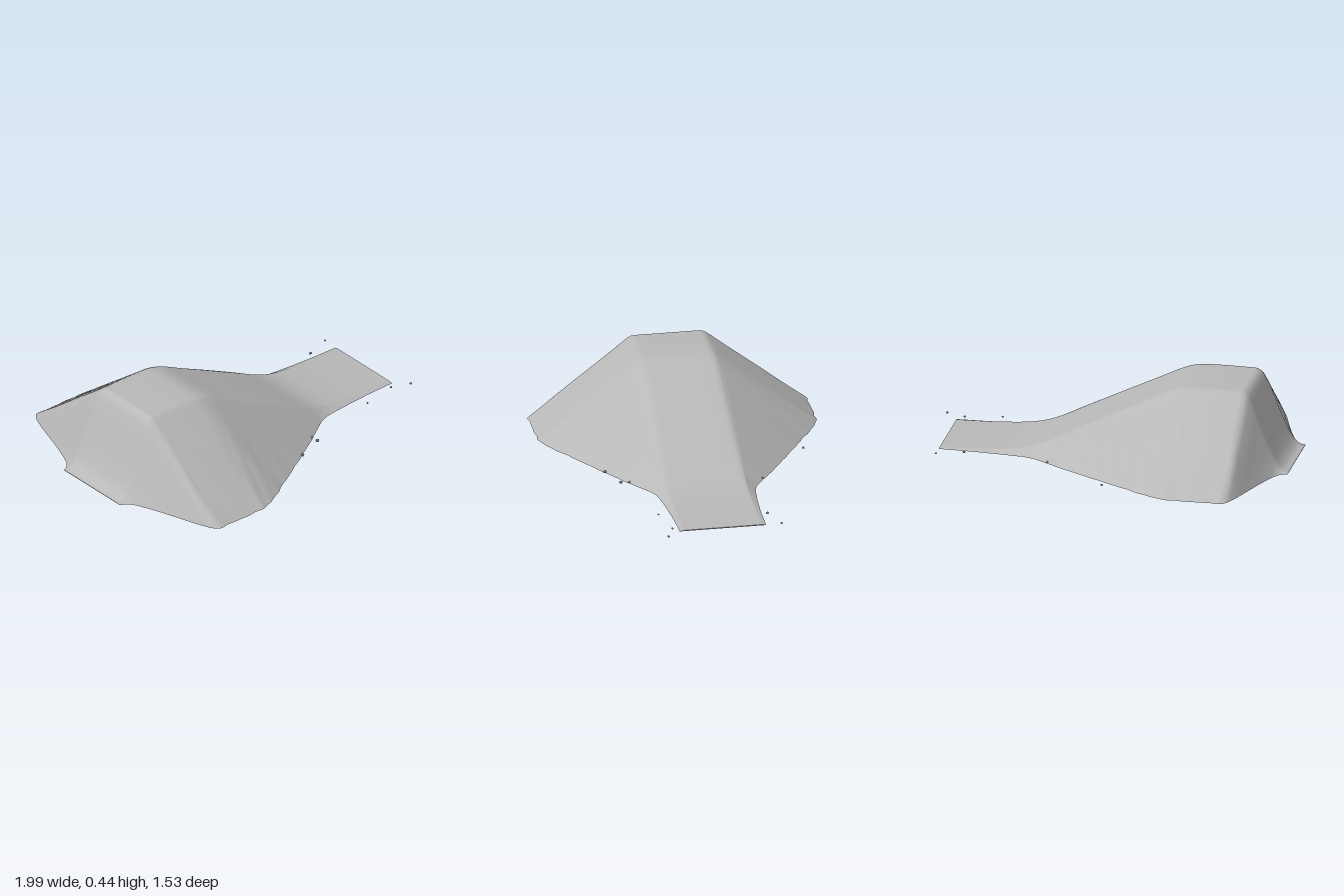
import * as THREE from 'three';

// Ridge profile: distance along x, height
const PROFILE = [
  [-1, 0.003], [-0.97, 0.015], [-0.94, 0.045], [-0.9, 0.12], [-0.85, 0.24], [-0.8, 0.365],
  [-0.77, 0.42], [-0.745, 0.436], [-0.72, 0.438], [-0.45, 0.438], [-0.4, 0.43], [-0.34, 0.41],
  [-0.2, 0.342], [0, 0.245], [0.2, 0.145], [0.32, 0.083], [0.4, 0.05], [0.5, 0.027],
  [0.7, 0.011], [0.915, 0.005],
];

// Section across the ridge at one x: points from +z to -z
function section(x, h) {
  const base = 0.23 + 1.21 * h - 0.012 * Math.exp(-(((x - 0.4) / 0.09) ** 2));
  const half = [];
  const flank = 14;
  for (let i = 0; i <= flank; i++) {
    const t = i / flank;
    // faint earth ripples, fading out at the shoulder
    const ripple = 0.006 * h * (1 - t) * (Math.sin(41 * x + 5 * t) + Math.sin(67 * x - 9 * t));
    half.push([base + (0.215 - base) * t + ripple, Math.max(0, h * t * 0.97)]);
  }
  half.push([0.195, h * 0.995], [0.17, h], [0.08, h]);
  const mirrored = half.map(([z, y]) => [-z, y]).reverse();
  return [...half, [0, h], ...mirrored];
}

// Surface through equal-length rows of points
function loft(rows) {
  const n = rows[0].length;
  const index = [];
  for (let r = 0; r < rows.length - 1; r++) {
    for (let c = 0; c < n - 1; c++) {
      const a = r * n + c, b = a + n;
      index.push(a, b, a + 1, b, b + 1, a + 1);
    }
  }
  const geo = new THREE.BufferGeometry();
  geo.setAttribute('position', new THREE.Float32BufferAttribute(rows.flat(2), 3));
  geo.setIndex(index);
  geo.computeVertexNormals();
  return geo;
}

export function createModel() {
  const group = new THREE.Group();
  group.name = 'dirtRamp';
  const earth = new THREE.MeshStandardMaterial({ color: 0xb8b8b8 });
  earth.name = 'grey earth';
  const add = (geo, name) => {
    const mesh = new THREE.Mesh(geo, earth);
    mesh.name = name;
    group.add(mesh);
    return mesh;
  };

  // Smooth rows along the ridge, three steps per profile span
  const curve = new THREE.CatmullRomCurve3(
    PROFILE.map(([x, y]) => new THREE.Vector3(x, y, 0)), false, 'centripetal');
  const rows = [];
  const steps = (PROFILE.length - 1) * 6;
  for (let i = 0; i <= steps; i++) {
    const p = curve.getPoint(i / steps);
    rows.push(section(p.x, p.y).map(([z, y]) => [p.x, y, z]));
  }
  add(loft(rows), 'moundSurface');

  // Flat underside
  add(loft(rows.map((r) => {
    const a = r[0], b = r[r.length - 1];
    return [[b[0], 0, b[2]], [a[0], 0, a[2]]];
  })), 'underside');

  // Thin closing faces at both ends
  const first = rows[0], last = rows[rows.length - 1];
  const floor = (row) => row.map(([x, , z]) => [x, 0, z]);
  add(loft([floor(first), first]), 'entryEdge');
  add(loft([last, floor(last)]), 'landingEdge');

  // Loose pebbles beside the mound: x, z, radius
  const pebble = new THREE.IcosahedronGeometry(1, 0);
  [
    [-0.06, -0.62, 0.008], [0.3, -0.33, 0.008], [0.77, -0.27, 0.009], [0.915, -0.32, 0.007],
    [0.07, 0.49, 0.01], [0.225, 0.385, 0.008], [0.225, 0.43, 0.011], [0.68, 0.31, 0.006],
    [0.88, 0.27, 0.007], [0.985, 0.31, 0.008],
  ].forEach(([x, z, r], i) => {
    const stone = add(pebble, 'pebble');
    stone.position.set(x, r * 0.8, z);
    stone.scale.set(r, r * 0.8, r);
    stone.rotation.y = i * 1.3;
  });
  return group;
}
